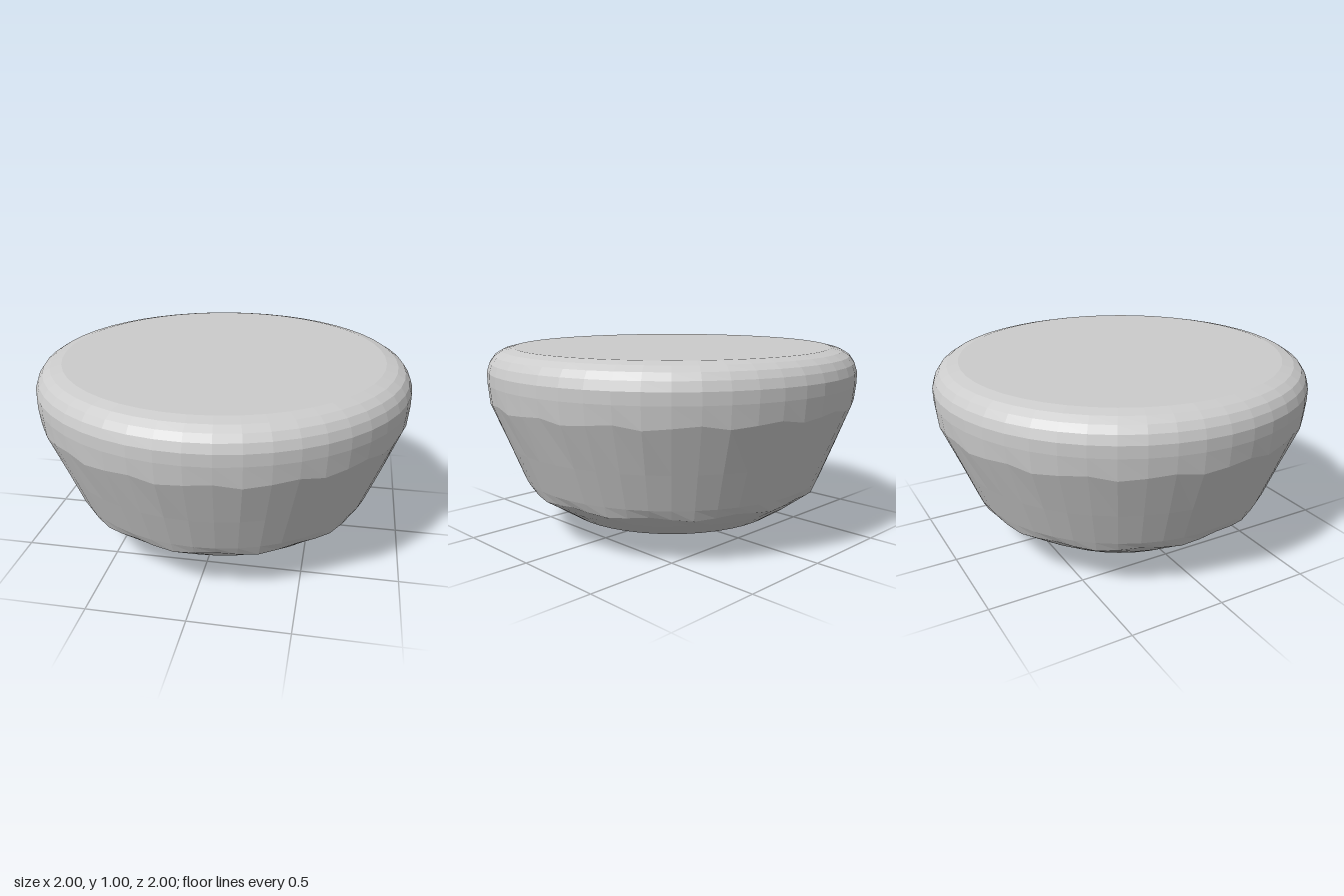
import * as THREE from 'three';

const SEGMENTS = 48;
const SEAM_Y = 0.72;

// Profiles as [radius, height], from the bottom up
const BOWL = [
  [0, 0], [0.2, 0.006], [0.4, 0.04], [0.6, 0.11], [0.72, 0.19],
  [0.8, 0.25], [0.825, 0.3], [0.9, 0.49], [0.99, SEAM_Y],
];
const RIM = [
  [0.99, SEAM_Y], [1, 0.82], [1, 0.88], [0.985, 0.925],
  [0.96, 0.96], [0.92, 0.985], [0.86, 1],
];
const TOP = [[0.86, 1], [0, 1]];

// Turned part with a slightly hand-cut, wavy seam and lower edge
function turned(name, profile, material) {
  const points = profile.map(([r, y]) => new THREE.Vector2(r, y));
  const geometry = new THREE.LatheGeometry(points, SEGMENTS);
  const pos = geometry.attributes.position;
  for (let i = 0; i < pos.count; i++) {
    const row = i % profile.length;
    const column = Math.floor(i / profile.length) % SEGMENTS;
    const y = profile[row][1];
    if (y === SEAM_Y) pos.setY(i, y + 0.012 * Math.sin(column * 2 * Math.PI / 3));
    if (y === 0.25) pos.setY(i, y + 0.01 * Math.sin(column * Math.PI / 2));
  }
  geometry.computeVertexNormals();
  const mesh = new THREE.Mesh(geometry, material);
  mesh.name = name;
  return mesh;
}

export function createModel() {
  const group = new THREE.Group();
  group.name = 'roundedBowl';
  const material = new THREE.MeshStandardMaterial({ color: 0xcccccc, flatShading: true });
  group.add(
    turned('bowl', BOWL, material),
    turned('roundedRim', RIM, material),
    turned('flatTop', TOP, material),
  );
  return group;
}
